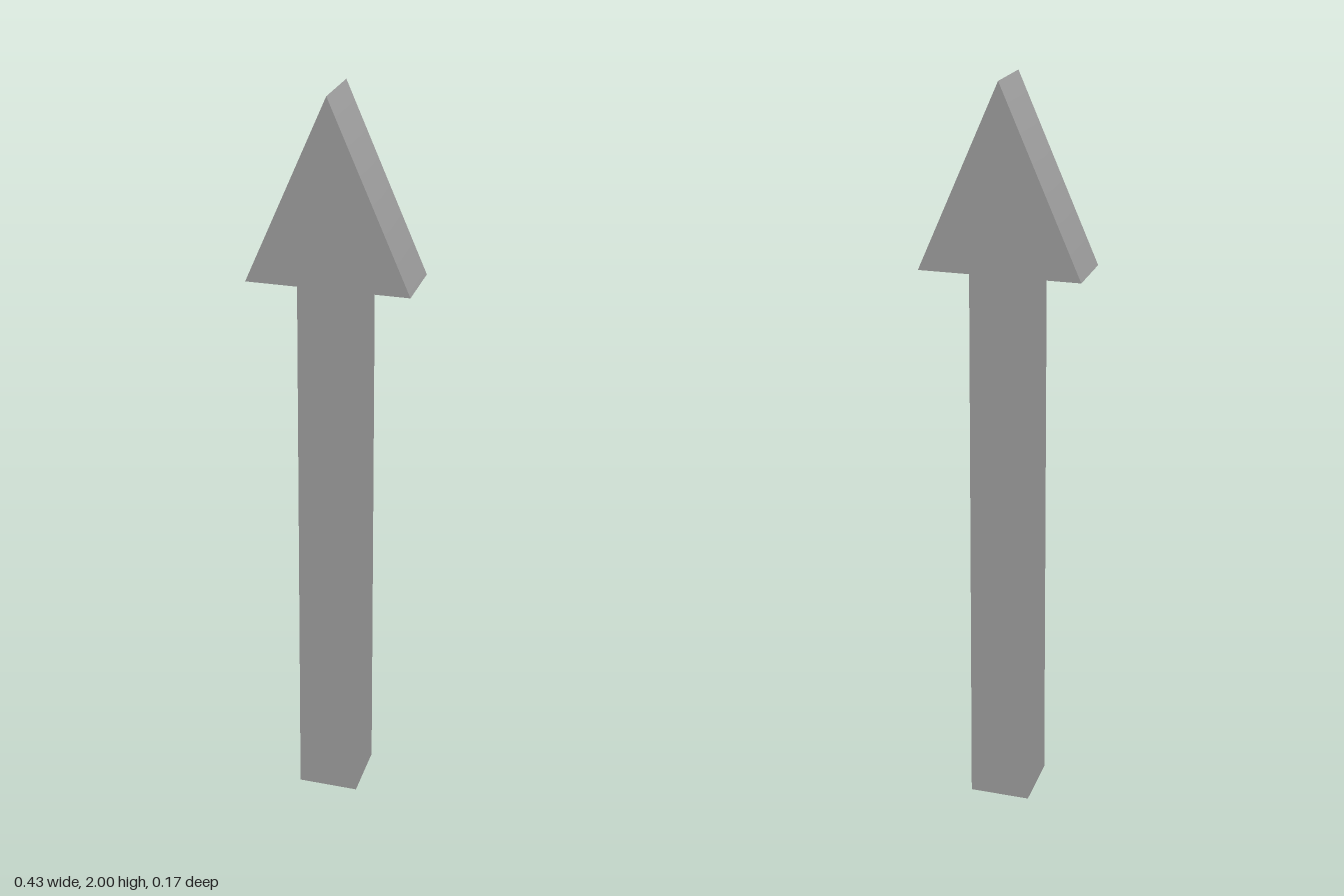
import * as THREE from 'three';

const HEIGHT = 2, DEPTH = 0.174;

export function createModel() {
  const group = new THREE.Group();
  group.name = 'arrow';

  // Right half of the outline, from the foot of the shaft up to the head's corner
  const half = [[0.083, 0], [0.077, 1.517], [0.213, 1.517]];
  const mirrored = half.map(([x, y]) => [-x, y]).reverse();
  const outline = [...half, [0, HEIGHT], ...mirrored];
  const shape = new THREE.Shape(outline.map(([x, y]) => new THREE.Vector2(x, y)));

  const geometry = new THREE.ExtrudeGeometry(shape, { depth: DEPTH, bevelEnabled: false });
  geometry.translate(0, 0, -DEPTH / 2);

  // Smooth shading across the tip, while all other edges stay sharp
  const { position, normal } = geometry.attributes;
  for (let i = 0; i < position.count; i++) {
    const onTip = position.getY(i) > HEIGHT - 0.001;
    if (onTip && Math.abs(normal.getZ(i)) < 0.5) normal.setXYZ(i, 0, 1, 0);
  }

  // Shaft and pointed head in one solid piece
  const arrow = new THREE.Mesh(geometry, new THREE.MeshStandardMaterial({ color: 0x9b9b9b }));
  arrow.name = 'shaftAndHead';
  group.add(arrow);
  return group;
}
